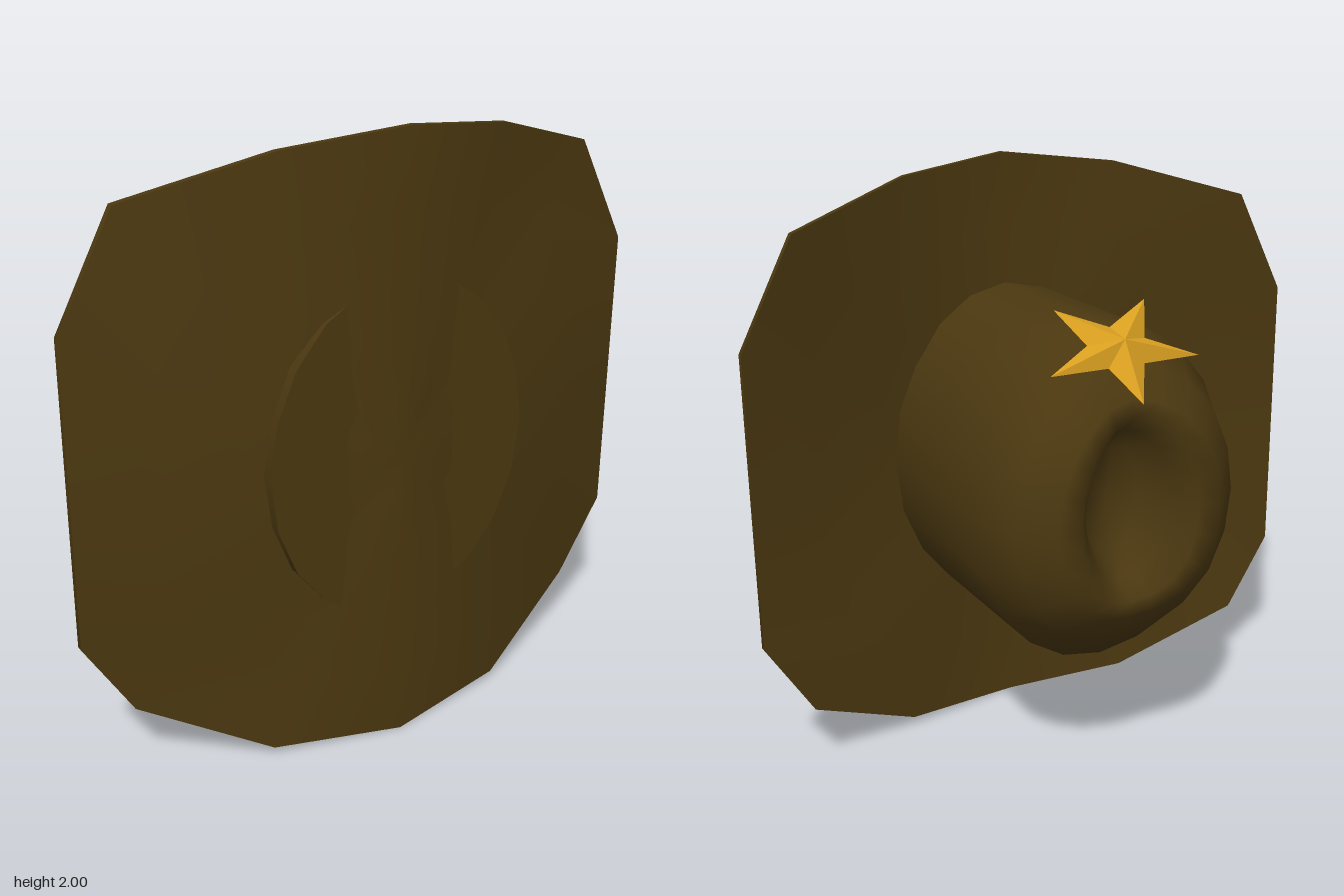
import * as THREE from 'three';
import { mergeVertices } from 'three/addons/utils/BufferGeometryUtils.js';

const felt = new THREE.MeshStandardMaterial({ color: 0x4b3810 });
felt.name = 'brown felt';
const gold = new THREE.MeshStandardMaterial({ color: 0xdaa020 });
gold.name = 'gold';

// Skin a surface over closed rings of [x, y, z] points, smooth shaded
function loft(rings) {
  const n = rings[0].length;
  const index = [];
  for (let i = 0; i < rings.length - 1; i++) {
    for (let j = 0; j < n; j++) {
      const a = i * n + j, b = i * n + (j + 1) % n;
      index.push(a, a + n, b, b, a + n, b + n);
    }
  }
  let geo = new THREE.BufferGeometry();
  geo.setAttribute('position', new THREE.Float32BufferAttribute(rings.flat(2), 3));
  geo.setIndex(index);
  geo = mergeVertices(geo, 1e-5);
  geo.computeVertexNormals();
  return geo;
}

function add(parent, name, geo, material) {
  const mesh = new THREE.Mesh(geo, material);
  mesh.name = name;
  parent.add(mesh);
  return mesh;
}

// Brim: outline rings shrinking to the middle, sides curled toward the crown
function makeBrim() {
  const half = [[0, 0, 0.44], [0.43, 0.03, 0.36], [0.84, 0.24, 0.22], [1, 0.5, 0.215], [1, 1, 0.215],
    [1, 1.48, 0.215], [0.82, 1.83, 0.215], [0.39, 1.955, 0.36], [0, 2, 0.44]];
  const rim = [...half, ...half.slice(1, -1).reverse().map(([x, y, z]) => [-x, y, z])];
  const profile = [[0, 0], [0.15, 0.1], [0.32, 0.2], [0.5, 0.35], [0.75, 0.66], [1, 1]];
  const ring = (s, drop, dz) => rim.map(([x, y, z]) => [x * s, 1 + (y - 1) * s, 0.44 - (0.44 - z) * drop + dz]);
  const under = profile.map(([s, d]) => ring(s, d, 0.023));
  const upper = profile.map(([s, d]) => ring(s, d, 0)).reverse();
  const brim = new THREE.Group();
  brim.name = 'brim';
  add(brim, 'brimUnderside', loft(under), felt);
  add(brim, 'brimEdge', loft([under[under.length - 1], upper[0]]), felt);
  add(brim, 'brimTop', loft(upper), felt);
  return brim;
}

// Crown: oval rings with two raised humps and a pinched hollow between them
function makeCrown() {
  const sides = 20;
  const ring = (rx, ry, zSide, zEnd = zSide) => Array.from({ length: sides }, (_, j) => {
    const t = (j / sides) * Math.PI * 2;
    const end = Math.sin(t) ** 6;
    return [rx * Math.cos(t), 1 + ry * Math.sin(t), zSide + (zEnd - zSide) * end];
  });
  const crown = new THREE.Group();
  crown.name = 'crown';
  add(crown, 'crownBase', loft([ring(0, 0, 0.435), ring(0.455, 0.56, 0.435)]), felt);
  add(crown, 'crownBody', loft([
    ring(0.455, 0.56, 0.435),
    ring(0.455, 0.56, 0.1),
    ring(0.455, 0.56, -0.24, -0.22),
    ring(0.39, 0.46, -0.38, -0.32),
    ring(0.29, 0.36, -0.465, -0.4),
    ring(0.21, 0.3, -0.465, -0.41),
    ring(0.15, 0.25, -0.38, -0.34),
    ring(0.1, 0.18, -0.28),
    ring(0, 0, -0.25),
  ]), felt);
  return crown;
}

// Badge: five-pointed star with a raised centre on both faces
function makeStar() {
  const pts = Array.from({ length: 10 }, (_, i) => {
    const r = i % 2 ? 0.39 : 1;
    const t = Math.PI / 2 + (i * Math.PI) / 5;
    return [0.273 * r * Math.cos(t), 0.2 * r * Math.sin(t), 0];
  });
  const pos = [];
  pts.forEach((p, i) => {
    const q = pts[(i + 1) % 10];
    pos.push([0, 0, 0.05], p, q, [0, 0, -0.025], q, p);
  });
  const geo = new THREE.BufferGeometry();
  geo.setAttribute('position', new THREE.Float32BufferAttribute(pos.flat(), 3));
  geo.computeVertexNormals();
  return geo;
}

export function createModel() {
  const hat = new THREE.Group();
  hat.name = 'hat';
  hat.add(makeBrim(), makeCrown());
  const star = add(hat, 'starBadge', makeStar(), gold);
  star.position.set(0, 1.498, -0.318);
  star.rotation.x = -2.335;
  return hat;
}
